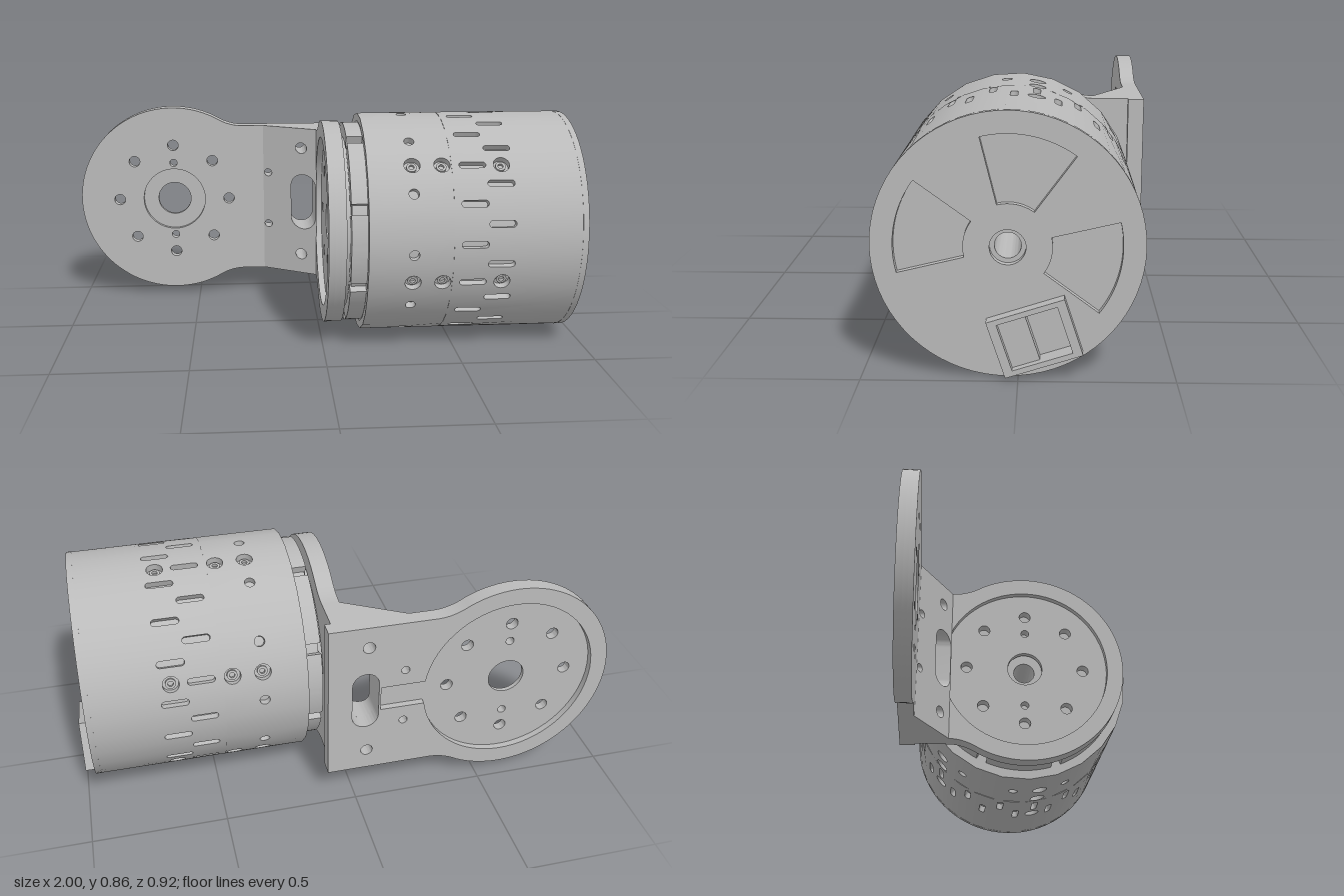
import * as THREE from 'three';
import { toCreasedNormals } from 'three/addons/utils/BufferGeometryUtils.js';

const grey = new THREE.MeshStandardMaterial({ color: 0xbababa });
grey.name = 'satin grey';
const DEG = Math.PI / 180;
const CY = 0.43, CZ = 0.032, R = 0.43;

function mesh(name, geometry, parent) {
  const m = new THREE.Mesh(geometry, grey);
  m.name = name;
  parent.add(m);
  return m;
}

const circle = (x, y, r) => new THREE.Path().absarc(x, y, r, 0, Math.PI * 2, true);
const polygon = (points) => new THREE.Shape(points.map(([x, y]) => new THREE.Vector2(x, y)));

// Stadium-shaped opening between two corners, long along x or along y
function slot(x0, y0, x1, y1) {
  const p = new THREE.Path();
  if (x1 - x0 > y1 - y0) {
    const r = (y1 - y0) / 2, c = (y0 + y1) / 2;
    p.absarc(x0 + r, c, r, Math.PI / 2, Math.PI * 1.5, false);
    p.absarc(x1 - r, c, r, -Math.PI / 2, Math.PI / 2, false);
  } else {
    const r = (x1 - x0) / 2, c = (x0 + x1) / 2;
    p.absarc(c, y1 - r, r, 0, Math.PI, false);
    p.absarc(c, y0 + r, r, Math.PI, Math.PI * 2, false);
  }
  p.closePath();
  return p;
}

function extrude(shape, holes, z0, z1, curveSegments = 12) {
  shape.holes.push(...holes);
  const g = new THREE.ExtrudeGeometry(shape, { depth: z1 - z0, bevelEnabled: false, curveSegments });
  return toCreasedNormals(g.translate(0, 0, z0), 0.5);
}

// Rounded plate with a neck towards +x, recessed on its -z side
function bracketPlate(name, neck, thickness, channel, neckHoles) {
  const g = new THREE.Group();
  g.name = name;
  const outline = () => {
    const s = new THREE.Shape();
    s.moveTo(neck, -0.32);
    s.lineTo(neck, 0.32);
    s.lineTo(0.3, 0.32);
    s.quadraticCurveTo(0.24, 0.32, 0.4 * Math.cos(63 * DEG), 0.4 * Math.sin(63 * DEG));
    s.absarc(0, 0, 0.4, 63 * DEG, 297 * DEG, false);
    s.quadraticCurveTo(0.24, -0.32, 0.3, -0.32);
    return s;
  };
  const recess = new THREE.Path();
  const a = Math.asin(0.05 / 0.335);
  recess.absarc(0, 0, 0.335, a, Math.PI * 2 - a, false);
  if (channel) {
    recess.lineTo(channel, -0.05);
    recess.lineTo(channel, 0.05);
  }
  recess.closePath();
  const bolts = [circle(0, 0.16, 0.016), circle(0, -0.16, 0.016)];
  for (let i = 0; i < 8; i++) {
    const t = i * 45 * DEG;
    bolts.push(circle(0.237 * Math.cos(t), 0.237 * Math.sin(t), 0.023));
  }
  const h = thickness / 2;
  mesh(name + 'Rim', extrude(outline(), [recess, ...neckHoles], -h, -h + 0.025, 32), g);
  mesh(name + 'Web', extrude(outline(), [circle(0, 0, 0.07), ...bolts, ...neckHoles], -h + 0.025, h - 0.018, 32), g);
  mesh(name + 'Face', extrude(outline(), [circle(0, 0, 0.133), ...bolts, ...neckHoles], h - 0.018, h, 32), g);
  return g;
}

// Wraps a flat panel (x axial, y along the arc, z outward) round the motor axis
function wrap(geometry, angle) {
  const p = geometry.attributes.position, n = geometry.attributes.normal;
  for (let i = 0; i < p.count; i++) {
    const t = angle + p.getY(i) / R, s = Math.sin(t), c = Math.cos(t);
    const r = R + p.getZ(i), ny = n.getY(i), nz = n.getZ(i);
    p.setXYZ(i, p.getX(i), r * s, r * c);
    n.setXYZ(i, n.getX(i), ny * c + nz * s, -ny * s + nz * c);
  }
  return geometry;
}

function panel(name, x0, x1, span, angle, holes, parent) {
  const v = R * span * DEG / 2;
  const s = polygon([[x0, -v], [x1, -v], [x1, v], [x0, v]]);
  mesh(name, wrap(extrude(s, holes, -0.03, 0), angle * DEG), parent);
}

function ringSector(r0, r1, a0, a1) {
  const s = new THREE.Shape();
  s.absarc(0, 0, r1, a0 * DEG, a1 * DEG, false);
  s.absarc(0, 0, r0, a1 * DEG, a0 * DEG, true);
  s.closePath();
  return s;
}

function buildMotor() {
  const motor = new THREE.Group();
  motor.name = 'motor';
  motor.position.set(0, CY, CZ);

  // Stepped core with an axial bore
  const profile = [[0.042, 0.08], [0.33, 0.08], [0.33, 0.1], [0.365, 0.1], [0.365, 0.156], [0.405, 0.156],
    [0.405, 0.938], [0.042, 0.938], [0.042, 0.08]].map(([r, x]) => new THREE.Vector2(r, x));
  const core = new THREE.LatheGeometry(profile, 72).rotateZ(-Math.PI / 2);
  mesh('core', toCreasedNormals(core, 0.5), motor);

  // Front collar, split by narrow gaps
  for (let i = 0; i < 8; i++) {
    const a = 20 + 45 * i;
    const g = extrude(ringSector(0.34, 0.393, -a - 42, -a - 3), [], 0.095, 0.156, 16);
    mesh('collarSegment', g.rotateY(Math.PI / 2), motor);
  }

  // Housing front band with screw holes
  for (let i = 0; i < 24; i++) {
    const holes = [];
    if (i % 4 === 0) holes.push(circle(0.32, 0, 0.03), circle(0.43, 0, 0.03));
    else if (i % 2 === 1) holes.push(circle(0.32, 0, 0.019));
    panel('housingFrontPanel', 0.155, 0.465, 15, 41.7 + 15 * i, holes, motor);
    if (i % 4 === 0) {
      // Screw sleeves set in the counterbores
      for (const x of [0.32, 0.43, 0.65]) {
        const sleeve = extrude(new THREE.Shape().absarc(x, 0, 0.019, 0, Math.PI * 2, false),
          [circle(x, 0, 0.01)], -0.03, -0.014);
        mesh('screw', wrap(sleeve, 41.7 * DEG + 15 * i * DEG), motor);
      }
    }
  }

  // Housing rear band with staggered vent slots
  for (let i = 0; i < 36; i++) {
    const x = i % 2 === 0 ? 0.492 : 0.592;
    const holes = [slot(x, -0.0125, x + 0.1, 0.0125)];
    if (i % 6 === 0) holes.push(circle(0.65, 0, 0.03));
    panel('housingVentPanel', 0.465, 0.94, 10, 41.5 + 10 * i, holes, motor);
  }

  // End cap with three sector pockets and a socket opening
  const rect = (w, h, x = 0) => [[-w, -h], [w, -h], [w, h], [-w, h]].map(([px, py]) => {
    const a = 18 * DEG, qx = px + x;
    return [0.0845 + qx * Math.cos(a) - py * Math.sin(a), -0.2875 + qx * Math.sin(a) + py * Math.cos(a)];
  });
  const sectors = [78.7, 168.7, -11.8].map((a) => ringSector(0.14, 0.358, a - 25, a + 25));
  const disc = new THREE.Shape().absarc(0, 0, R, 0, Math.PI * 2, false);
  const cap = extrude(disc, [...sectors, circle(0, 0, 0.057), polygon(rect(0.1, 0.08))], 0.938, 0.96, 36);
  mesh('endCap', cap.rotateY(Math.PI / 2), motor);

  // Tilted socket
  const frame = extrude(polygon(rect(0.129, 0.0975)), [polygon(rect(0.1, 0.08))], 0.96, 1);
  mesh('socketFrame', frame.rotateY(Math.PI / 2), motor);
  mesh('socketStep', extrude(polygon(rect(0.046, 0.08, -0.054)), [], 0.938, 0.975).rotateY(Math.PI / 2), motor);
  return motor;
}

function buildBracket() {
  const bracket = new THREE.Group();
  bracket.name = 'bracket';

  // Openings shared by the arm plate and the gusset, offset to each origin
  const neckHoles = (dx) => [
    slot(dx - 0.092, -0.12, dx + 0.009, 0.12),
    ...[1, -1].flatMap((s) => [circle(dx - 0.05, 0.235 * s, 0.023), circle(dx - 0.19, 0.115 * s, 0.016)]),
  ];

  const arm = bracketPlate('armPlate', 0.7, 0.06, 0.5, neckHoles(0.6));
  arm.position.set(-0.6, CY, -0.43);
  const flange = bracketPlate('flange', 0.49, 0.066, 0, []);
  flange.rotation.y = Math.PI / 2;
  flange.position.set(0.045, CY, CZ);

  // Wedge in the corner: depth grows along x
  const s = polygon([[-0.21, -0.32], [0.013, -0.32], [0.013, 0.32], [-0.21, 0.32]]);
  s.holes.push(...neckHoles(0));
  const wedge = new THREE.ExtrudeGeometry(s, { depth: 1, bevelEnabled: false });
  const p = wedge.attributes.position;
  for (let i = 0; i < p.count; i++) p.setZ(i, p.getZ(i) * (p.getX(i) + 0.2102) * 0.59);
  mesh('gusset', toCreasedNormals(wedge, 0.5), bracket).position.set(0, CY, -0.4);

  bracket.add(arm, flange);
  return bracket;
}

export function createModel() {
  const model = new THREE.Group();
  model.name = 'motorWithBracket';
  model.add(buildMotor(), buildBracket());
  return model;
}
